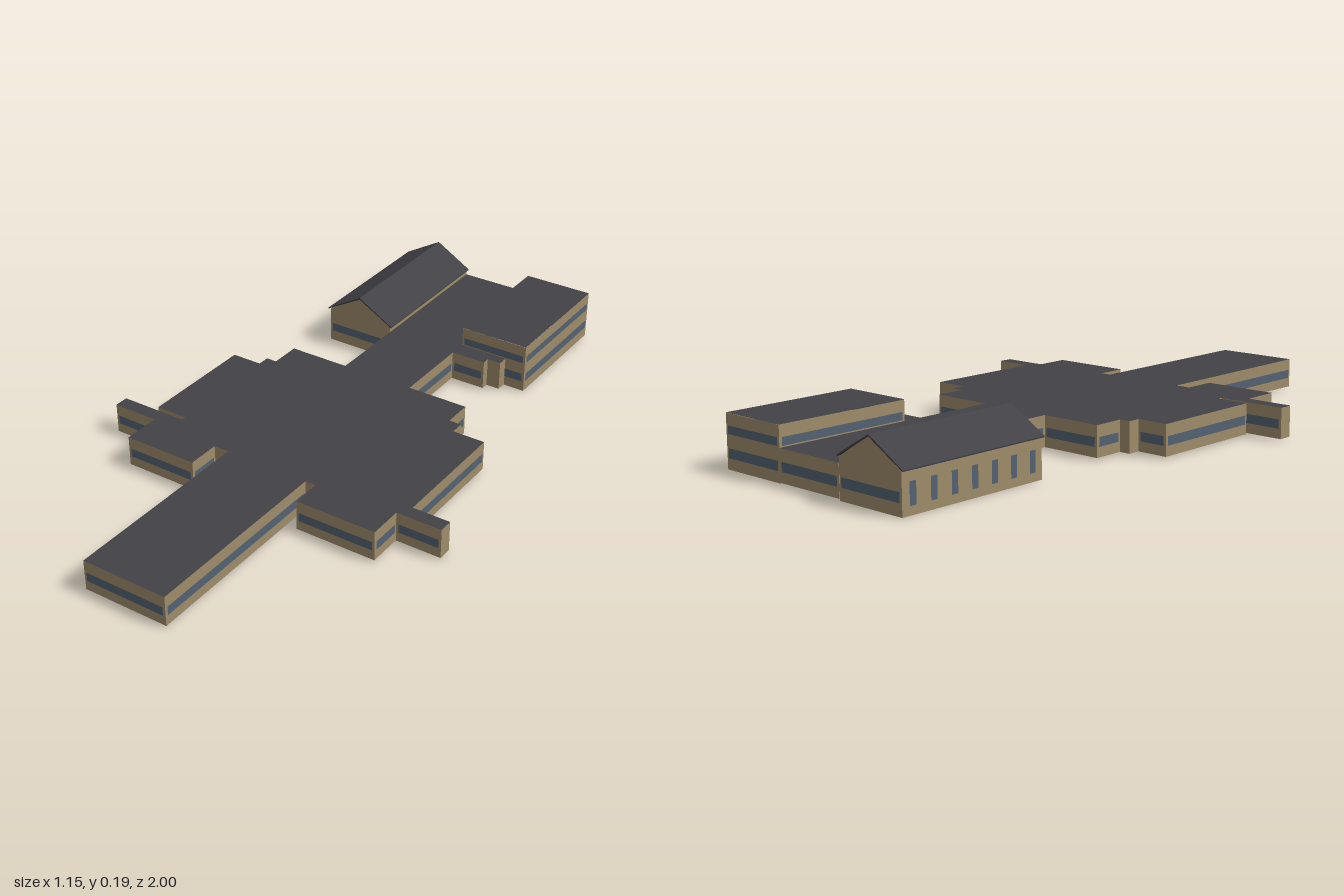
import * as THREE from 'three';
import { mergeGeometries } from 'three/addons/utils/BufferGeometryUtils.js';

const material = (name, color) => new THREE.MeshStandardMaterial({ name, color, side: THREE.DoubleSide });

export function createModel() {
  const group = new THREE.Group();
  const wallMat = material('sandstone', 0xa08d6b);
  const roofMat = material('charcoal roof', 0x424146);
  const glassMat = material('blue grey glass', 0x556273);

  const add = (name, geos, mat) => {
    const mesh = new THREE.Mesh(mergeGeometries(geos), mat);
    mesh.name = name;
    group.add(mesh);
  };

  // Upright panel from a to b (x, z), facing right of the direction of travel
  const panel = ([ax, az], [bx, bz], y0, y1, inset = 0, out = 0) => {
    const len = Math.hypot(bx - ax, bz - az);
    const g = new THREE.PlaneGeometry(len - inset * 2, y1 - y0);
    g.translate(0, 0, out);
    g.rotateY(Math.atan2(az - bz, bx - ax));
    g.translate((ax + bx) / 2, (y0 + y1) / 2, (az + bz) / 2);
    return g;
  };
  const edges = (pts) => pts.map((p, i) => [p, pts[(i + 1) % pts.length]]);
  const flatRoof = (pts, y) => {
    const g = new THREE.ShapeGeometry(new THREE.Shape(pts.map(([x, z]) => new THREE.Vector2(x, -z))));
    return g.rotateX(-Math.PI / 2).translate(0, y, 0);
  };
  // Window strips on every wall long enough to carry one
  const strips = (walls, y0, y1, outs = [0.001]) => walls
    .filter(([a, b]) => Math.hypot(b[0] - a[0], b[1] - a[1]) > 0.06)
    .flatMap(([a, b]) => outs.map((o) => panel(a, b, y0, y1, 0.008, o)));

  // Single-storey main building
  const outline = [
    [-0.14, 1], [0.135, 1], [0.135, 0.37], [0.17, 0.37], [0.17, 0.465], [0.43, 0.465],
    [0.43, 0.355], [0.575, 0.355], [0.575, 0.31], [0.455, 0.31], [0.455, -0.09],
    [0.35, -0.09], [0.35, -0.135], [0.31, -0.135], [0.31, -0.23], [0.11, -0.23],
    [0.11, -0.495], [0.225, -0.495], [0.225, -0.52], [0.27, -0.52], [0.27, -0.555],
    [0.11, -0.555], [0.11, -0.998], [-0.13, -0.998], [-0.13, -0.23], [-0.33, -0.23],
    [-0.33, -0.13], [-0.365, -0.13], [-0.365, -0.09], [-0.465, -0.09], [-0.465, 0.295],
    [-0.36, 0.295], [-0.36, 0.31], [-0.58, 0.31], [-0.58, 0.355], [-0.43, 0.355],
    [-0.43, 0.475], [-0.19, 0.475], [-0.19, 0.37], [-0.14, 0.37],
  ];
  // Leave out the walls shared with the tall block and the hall
  const shared = ([a, b]) => (a[1] === -0.555 && b[1] < -0.55) || (a[1] === -0.998 && b[0] === -0.13 && b[1] > -0.5);
  const mainWalls = edges(outline).filter((e) => !shared(e));
  mainWalls.push([[-0.13, -0.5], [-0.13, -0.23]]);
  add('mainWalls', mainWalls.map(([a, b]) => panel(a, b, 0.005, 0.1)), wallMat);
  add('mainWindows', strips(mainWalls, 0.036, 0.064), glassMat);
  add('mainRoof', [flatRoof(outline, 0.1)], roofMat);

  // Two-storey block
  const block = [[0.11, -0.555], [0.34, -0.555], [0.34, -0.998], [0.11, -0.998]];
  const blockWalls = edges(block);
  add('blockWalls', blockWalls.map(([a, b]) => panel(a, b, 0.003, 0.162)), wallMat);
  add('blockWindows', [
    ...strips(blockWalls, 0.036, 0.064, [0.001, -0.001]),
    ...strips(blockWalls, 0.104, 0.128, [0.001, -0.001]),
  ], glassMat);
  add('blockRoof', [flatRoof(block, 0.163)], roofMat);

  // Gabled hall
  const x0 = -0.366, x1 = -0.131, z0 = -0.998, z1 = -0.497, mid = (x0 + x1) / 2, eave = 0.117, ridge = 0.191;
  const hall = edges([[x0, z1], [x1, z1], [x1, z0], [x0, z0]]);
  const gable = (z) => new THREE.ShapeGeometry(new THREE.Shape([
    new THREE.Vector2(x0, eave), new THREE.Vector2(x1, eave), new THREE.Vector2(mid, ridge - 0.002),
  ])).translate(0, 0, z);
  add('hallWalls', [...hall.map(([a, b]) => panel(a, b, 0, eave)), gable(z1), gable(z0)], wallMat);
  add('hallEndWindows', strips([hall[0], hall[2]], 0.036, 0.064), glassMat);

  // Tall narrow windows along both long sides of the hall
  const slits = [];
  for (let i = 0; i < 7; i++) {
    const z = z0 + (i + 0.5) * (z1 - z0) / 7;
    for (const x of [x0, x1]) {
      for (const out of [0.001, -0.001]) slits.push(panel([x, z - 0.011], [x, z + 0.011], 0.025, 0.088, 0, out));
    }
  }
  add('hallSideWindows', slits, glassMat);

  // Pitched roof as a thin folded slab
  const e = 0.124, t = 0.004;
  const fold = new THREE.Shape([
    [mid - e, eave], [mid, ridge - t], [mid + e, eave], [mid + e, eave + t], [mid, ridge + t / 2], [mid - e, eave + t],
  ].map(([x, y]) => new THREE.Vector2(x, y)));
  const pitched = new THREE.ExtrudeGeometry(fold, { depth: 0.508, bevelEnabled: false }).translate(0, 0, -1);
  add('hallRoof', [pitched], roofMat);

  return group;
}
